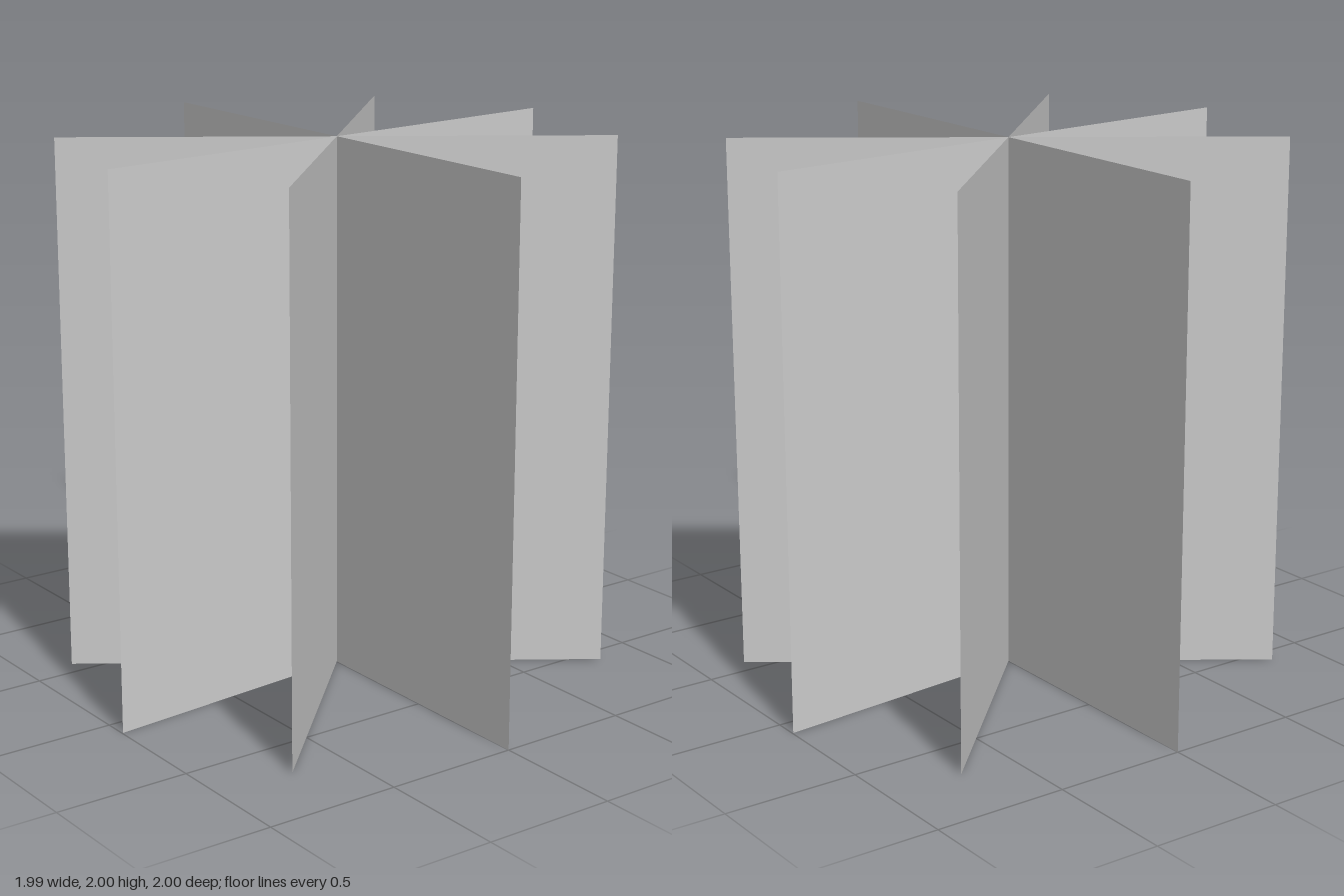
import * as THREE from 'three';

// Thin upright blades crossing on the vertical axis
export function createModel() {
  const group = new THREE.Group();
  group.name = 'crossedBlades';

  const material = new THREE.MeshStandardMaterial({ color: 0xcccccc, side: THREE.DoubleSide });
  const bladeGeometry = new THREE.PlaneGeometry(2, 2);

  // Heading of each blade in degrees, measured from +z towards +x
  [0, 55, 95, 135].forEach((heading, i) => {
    const blade = new THREE.Mesh(bladeGeometry, material);
    blade.name = `blade${i + 1}`;
    blade.position.y = 1;
    blade.rotation.y = THREE.MathUtils.degToRad(heading - 90);
    group.add(blade);
  });

  return group;
}
